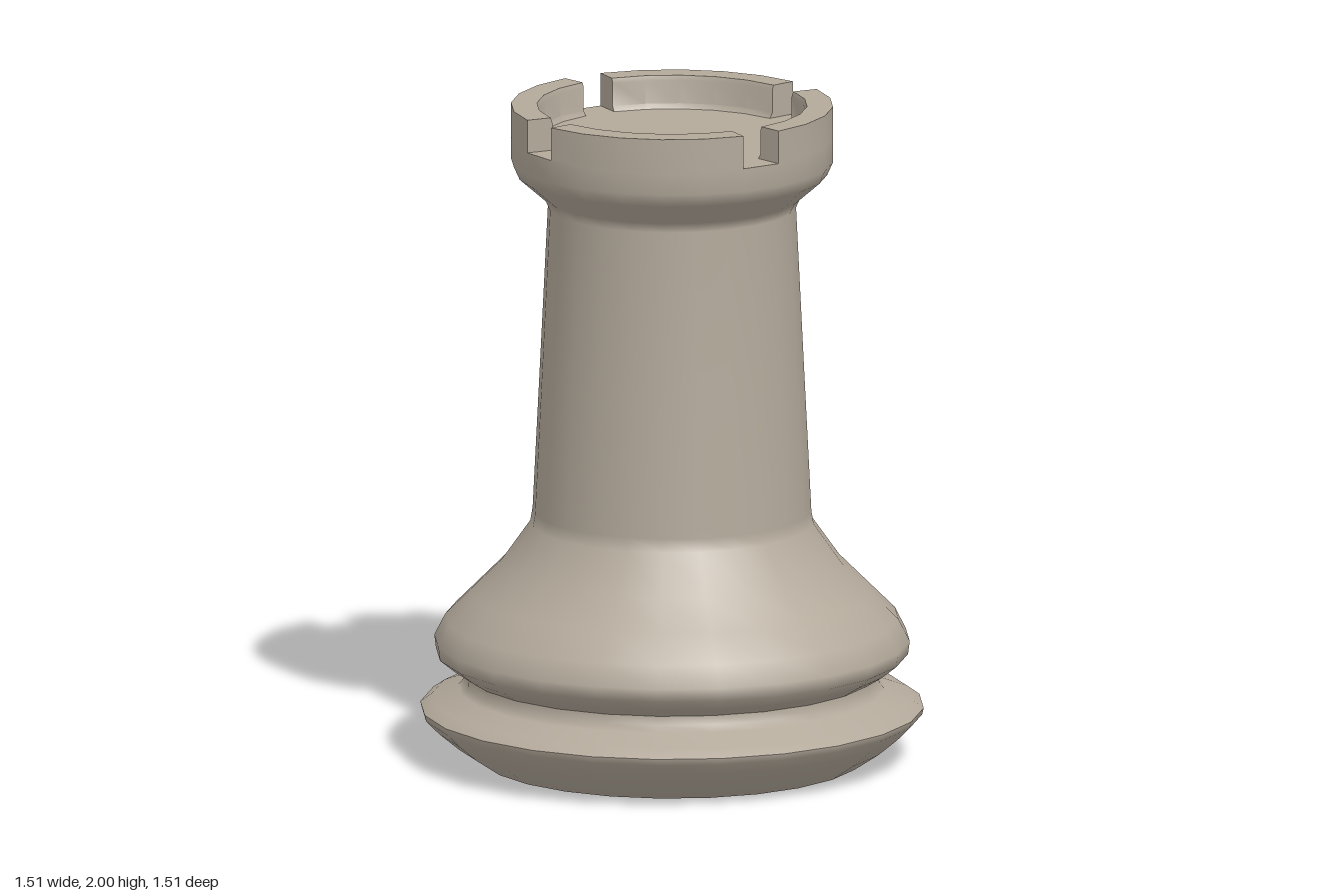
import * as THREE from 'three';
import { toCreasedNormals } from 'three/addons/utils/BufferGeometryUtils.js';

const SIDES = 24;
const STEP = (Math.PI * 2) / SIDES;

export function createModel() {
  const group = new THREE.Group();
  const stone = new THREE.MeshStandardMaterial({ color: 0xb3a99b });
  stone.name = 'warmGreyStone';

  const vectors = (pairs) => pairs.map(([r, y]) => new THREE.Vector2(r, y));
  const add = (name, geometry, parent = group) => {
    const mesh = new THREE.Mesh(geometry, stone);
    mesh.name = name;
    parent.add(mesh);
    return mesh;
  };
  const turned = (name, pairs) => add(name, new THREE.LatheGeometry(vectors(pairs), SIDES));

  // Turned body, split where the surface has a sharp edge
  turned('underside', [[0, 0], [0.575, 0]]);
  turned('foot', [[0.575, 0], [0.65, 0.05], [0.71, 0.1], [0.75, 0.14], [0.755, 0.16]]);
  turned('footTop', [[0.755, 0.16], [0.72, 0.185], [0.64, 0.215], [0.622, 0.235], [0.62, 0.262]]);
  turned('body', [
    [0.62, 0.262], [0.665, 0.29], [0.708, 0.325], [0.713, 0.365], [0.68, 0.43],
    [0.6, 0.51], [0.51, 0.6], [0.425, 0.72], [0.418, 0.76], [0.396, 1.2], [0.372, 1.69],
    [0.385, 1.72], [0.465, 1.79], [0.483, 1.83], [0.483, 1.9],
  ]);
  turned('crownFloor', [[0.483, 1.9], [0, 1.9]]);

  // Four battlements, each five sides long with a one-side gap between
  const section = [[0.483, 1.9], [0.483, 2], [0.405, 2], [0.4, 1.985], [0.4, 1.915], [0.39, 1.9]];
  const wall = toCreasedNormals(
    new THREE.LatheGeometry(vectors(section), 5, 0, STEP * 5), 0.6);
  const startCap = new THREE.ShapeGeometry(new THREE.Shape(vectors(section)));
  const endCap = new THREE.ShapeGeometry(
    new THREE.Shape(vectors(section.map(([r, y]) => [-r, y]))));

  for (let i = 0; i < 4; i++) {
    const battlement = new THREE.Group();
    battlement.name = 'battlement';
    battlement.rotation.y = (i * Math.PI) / 2;
    add('battlementWall', wall, battlement);
    add('battlementStart', startCap, battlement).rotation.y = -Math.PI / 2;
    add('battlementEnd', endCap, battlement).rotation.y = STEP * 5 + Math.PI / 2;
    group.add(battlement);
  }
  return group;
}
